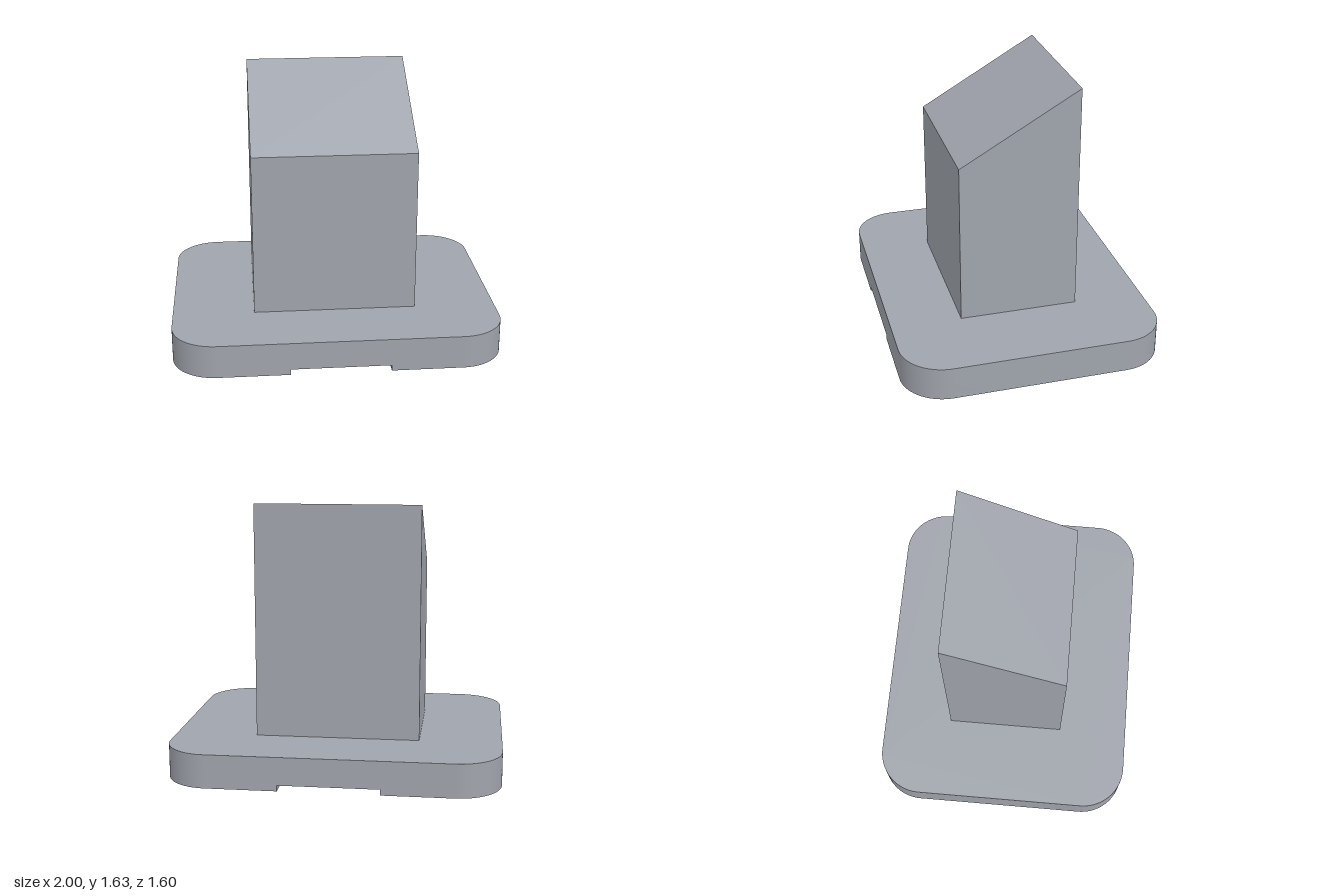
import * as THREE from 'three';
import { toCreasedNormals } from 'three/addons/utils/BufferGeometryUtils.js';

const HALF_W = 1, HALF_D = 0.8, RADIUS = 0.27;
const GROOVE_HALF = 0.3, GROOVE_H = 0.035, BASE_H = 0.205;

// Plan outline extruded upward from y0 to y1
function plate(shape, y0, y1) {
  const geo = new THREE.ExtrudeGeometry(shape, { depth: y1 - y0, bevelEnabled: false, curveSegments: 16 });
  geo.rotateX(-Math.PI / 2).translate(0, y0, 0);
  return toCreasedNormals(geo, Math.PI / 6);
}

// Adds the two rounded corners on the +x side, from the back to the front
function roundedRight(shape) {
  const cx = HALF_W - RADIUS, cy = HALF_D - RADIUS;
  shape.lineTo(cx, -HALF_D);
  shape.absarc(cx, -cy, RADIUS, -Math.PI / 2, 0, false);
  shape.lineTo(HALF_W, cy);
  shape.absarc(cx, cy, RADIUS, 0, Math.PI / 2, false);
}

export function createModel() {
  const grey = new THREE.MeshStandardMaterial({ color: 0xa0a4ac });
  grey.name = 'steel grey';
  const model = new THREE.Group();
  model.name = 'pedestal';
  const add = (name, geo) => {
    const mesh = new THREE.Mesh(geo, grey);
    mesh.name = name;
    model.add(mesh);
    return mesh;
  };

  // Rounded base plate above the groove
  const slab = new THREE.Shape();
  const cx = HALF_W - RADIUS, cy = HALF_D - RADIUS;
  slab.moveTo(-cx, -HALF_D);
  roundedRight(slab);
  slab.lineTo(-cx, HALF_D);
  slab.absarc(-cx, cy, RADIUS, Math.PI / 2, Math.PI, false);
  slab.lineTo(-HALF_W, -cy);
  slab.absarc(-cx, -cy, RADIUS, Math.PI, Math.PI * 1.5, false);
  add('basePlate', plate(slab, GROOVE_H, BASE_H));

  // Feet on either side of the groove running front to back
  const foot = new THREE.Shape();
  foot.moveTo(GROOVE_HALF, -HALF_D);
  roundedRight(foot);
  foot.lineTo(GROOVE_HALF, HALF_D);
  foot.closePath();
  add('leftFoot', plate(foot, 0, GROOVE_H));
  add('rightFoot', plate(foot, 0, GROOVE_H)).rotation.y = Math.PI;

  // Post with a top sloping down toward the front
  const side = new THREE.Shape([
    new THREE.Vector2(-0.366, BASE_H),
    new THREE.Vector2(0.366, BASE_H),
    new THREE.Vector2(0.366, 1.207),
    new THREE.Vector2(-0.366, 1.63),
  ]);
  const post = new THREE.ExtrudeGeometry(side, { depth: 1, bevelEnabled: false });
  post.rotateY(-Math.PI / 2).translate(0.5, 0, 0);
  add('post', post);

  return model;
}
